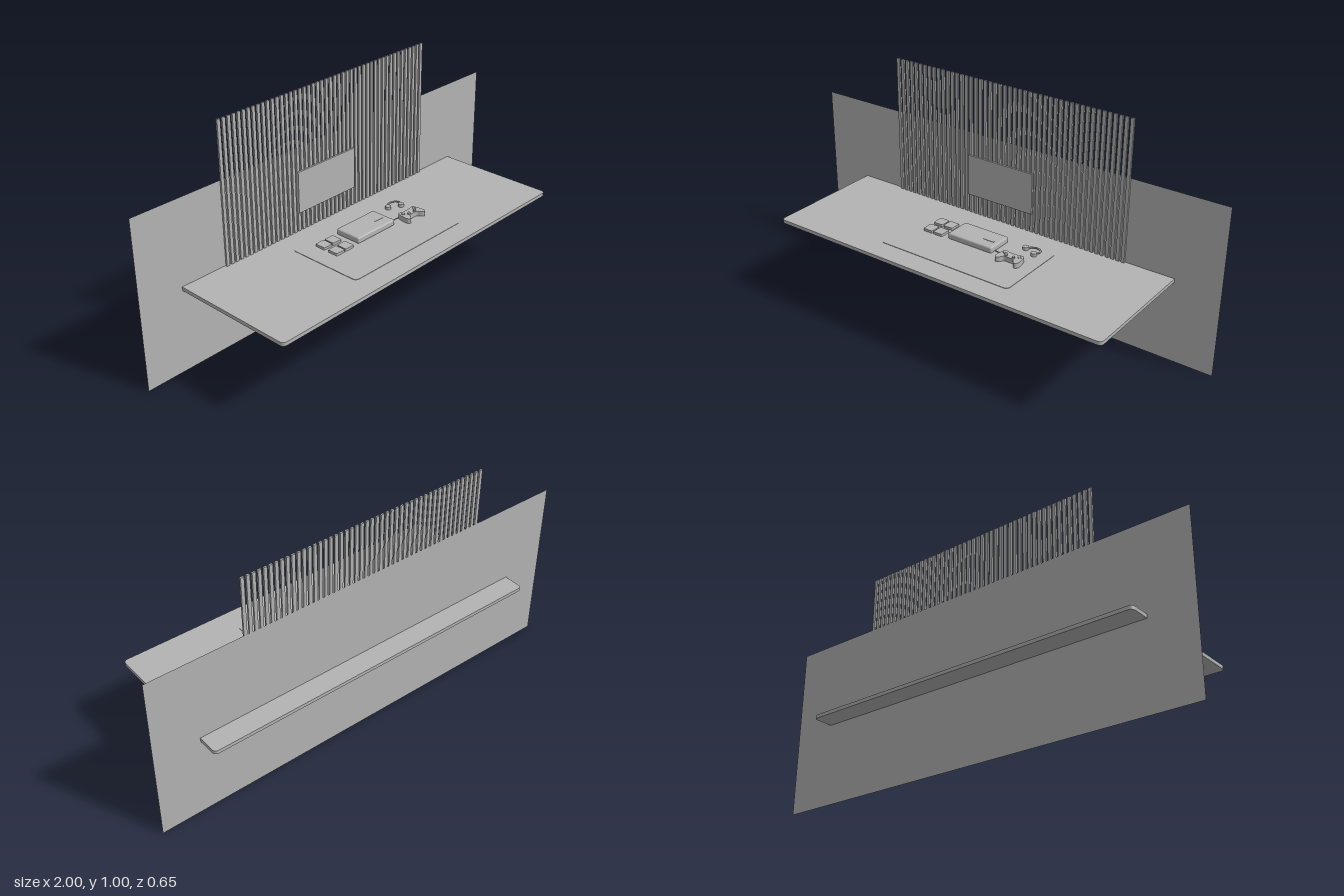
import * as THREE from 'three';
import { RoundedBoxGeometry } from 'three/addons/geometries/RoundedBoxGeometry.js';

const grey = new THREE.MeshStandardMaterial({ color: 0xb3b3b3 });
grey.name = 'plain grey';
const greySheet = new THREE.MeshStandardMaterial({ color: 0xb3b3b3, side: THREE.DoubleSide });
greySheet.name = 'plain grey sheet';

function add(parent, name, geometry, x = 0, y = 0, z = 0, material = grey) {
  const mesh = new THREE.Mesh(geometry, material);
  mesh.name = name;
  mesh.position.set(x, y, z);
  parent.add(mesh);
  return mesh;
}

// Horizontal slab with rounded corners, its base resting at y = 0
function slab(w, d, h, r) {
  const s = new THREE.Shape();
  const x = w / 2, y = d / 2;
  s.moveTo(-x + r, -y);
  s.lineTo(x - r, -y);
  s.absarc(x - r, -y + r, r, -Math.PI / 2, 0);
  s.absarc(x - r, y - r, r, 0, Math.PI / 2);
  s.absarc(-x + r, y - r, r, Math.PI / 2, Math.PI);
  s.absarc(-x + r, -y + r, r, Math.PI, Math.PI * 1.5);
  return lay(s, h);
}

// Extrude a plan shape upwards; shape y becomes -z
function lay(shape, h) {
  const g = new THREE.ExtrudeGeometry(shape, { depth: h, bevelEnabled: false, curveSegments: 8 });
  return g.rotateX(-Math.PI / 2);
}

function makeController() {
  const g = new THREE.Group();
  g.name = 'gameController';
  // Half outline, mirrored into a two-handled body
  const half = [[0, 0.026], [0.022, 0.028], [0.042, 0.032], [0.051, 0.018],
    [0.056, -0.022], [0.046, -0.037], [0.034, -0.03], [0.022, -0.014], [0, -0.012]];
  const pts = half.map(([x, y]) => new THREE.Vector2(x, y));
  for (const [x, y] of half.slice(1, -1).reverse()) pts.push(new THREE.Vector2(-x, y));
  const s = new THREE.Shape();
  s.moveTo(pts[0].x, pts[0].y);
  s.splineThru([...pts.slice(1), pts[0]]);
  add(g, 'controllerBody', lay(s, 0.022), 0, 0.003, 0);
  // Thumb sticks and face buttons
  for (const x of [-0.018, 0.018]) {
    add(g, 'thumbStick', new THREE.CylinderGeometry(0.007, 0.006, 0.008, 16), x, 0.028, 0.004);
  }
  for (let i = 0; i < 4; i++) {
    const a = i * Math.PI / 2;
    add(g, 'button', new THREE.CylinderGeometry(0.0025, 0.0025, 0.003, 10),
      0.035 + 0.007 * Math.cos(a), 0.0262, -0.013 + 0.007 * Math.sin(a));
  }
  add(g, 'directionPad', new THREE.BoxGeometry(0.016, 0.003, 0.005), -0.035, 0.0262, -0.013);
  add(g, 'directionPad', new THREE.BoxGeometry(0.005, 0.003, 0.016), -0.035, 0.0262, -0.013);
  return g;
}

function makeHeadphones() {
  const g = new THREE.Group();
  g.name = 'headphones';
  const band = new THREE.CatmullRomCurve3([[-0.03, -0.008], [-0.012, -0.024], [0.012, -0.028],
    [0.032, -0.016], [0.033, 0.002], [0.022, 0.014]].map(([x, z]) => new THREE.Vector3(x, 0.008, z)));
  add(g, 'headband', new THREE.TubeGeometry(band, 32, 0.0035, 8));
  for (const [x, z] of [[-0.034, -0.005], [0.022, 0.019]]) {
    add(g, 'earCup', new THREE.CylinderGeometry(0.013, 0.013, 0.014, 20), x, 0.008, z);
  }
  return g;
}

export function createModel() {
  const model = new THREE.Group();
  model.name = 'wallDesk';
  const top = 0.378;

  // Wall sheet, with the desk passing through it
  add(model, 'wallPanel', new THREE.PlaneGeometry(2, 0.75), 0, 0.375, -0.231, greySheet);
  add(model, 'deskTop', slab(1.6, 0.65, 0.016, 0.018), 0, 0.362, 0);

  // Slatted backdrop
  const slats = new THREE.Group();
  slats.name = 'slatBackdrop';
  const count = 48, left = -0.585, right = 0.58, width = 0.015;
  for (let i = 0; i < count; i++) {
    const x = left + width / 2 + (right - left - width) * i / (count - 1);
    add(slats, 'slat', new THREE.BoxGeometry(width, 0.75, 0.008), x, 0.625, -0.224);
  }
  model.add(slats);

  // Screen on the slats
  add(model, 'screen', new THREE.BoxGeometry(0.33, 0.185, 0.008), -0.03, 0.5575, -0.216);

  // Desk mat
  add(model, 'deskMat', slab(0.645, 0.35, 0.002, 0.02), 0, top, 0.05);
  const mat = top + 0.002;

  // Console with a small slot on its lid
  add(model, 'console', new RoundedBoxGeometry(0.222, 0.028, 0.123, 3, 0.007), 0, mat + 0.014, -0.021);
  add(model, 'consoleSlot', new THREE.BoxGeometry(0.05, 0.002, 0.006), 0.066, mat + 0.0285, -0.008);

  // Two by two game cases
  for (const x of [-0.216, -0.164]) {
    for (const z of [-0.052, 0.018]) {
      add(model, 'gameCase', slab(0.046, 0.05, 0.011, 0.004), x, mat, z);
    }
  }

  // Controller, cable and headphones
  const controller = makeController();
  controller.position.set(0.21, mat, 0.045);
  model.add(controller);
  const cable = new THREE.CatmullRomCurve3([[0.108, 0.012], [0.13, 0.015], [0.15, 0.012], [0.175, 0.022]]
    .map(([x, z]) => new THREE.Vector3(x, mat + 0.005, z)));
  add(model, 'cable', new THREE.TubeGeometry(cable, 20, 0.002, 6));
  const headphones = makeHeadphones();
  headphones.position.set(0.236, mat, -0.072);
  model.add(headphones);

  return model;
}
